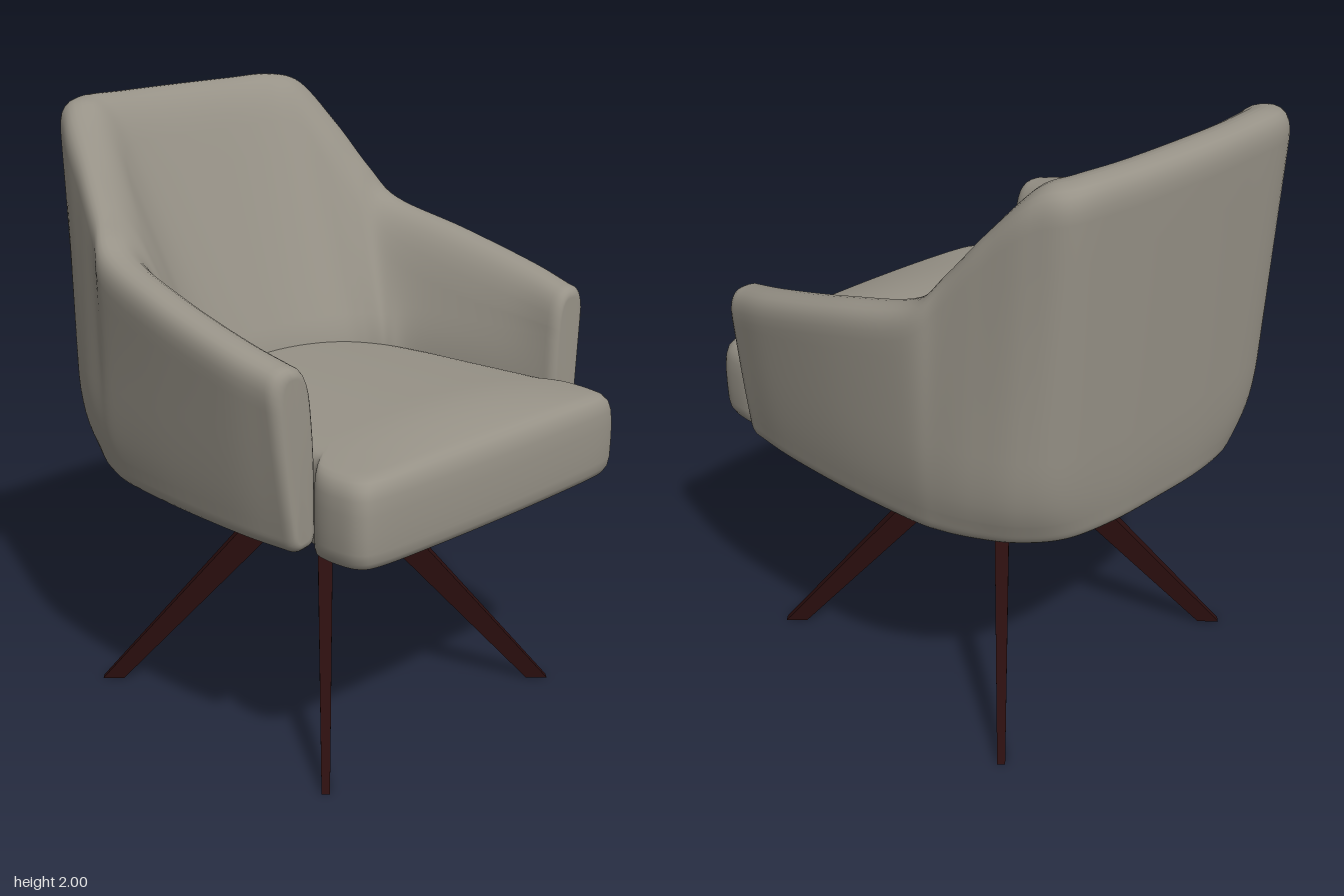
import * as THREE from 'three';
import { ConvexGeometry } from 'three/addons/geometries/ConvexGeometry.js';

const V = (x, y, z) => new THREE.Vector3(x, y, z);

// Skin a list of equally sized closed rings and cap both ends.
// Rings run counter-clockwise when seen from the starting end.
function loft(rings) {
  const n = rings[0].length, pos = [], idx = [];
  rings.forEach(r => r.forEach(p => pos.push(p.x, p.y, p.z)));
  for (let i = 0; i < rings.length - 1; i++) {
    for (let j = 0; j < n; j++) {
      const k = (j + 1) % n;
      const a = i * n + j, b = i * n + k, c = a + n, d = b + n;
      idx.push(a, c, b, b, c, d);
    }
  }
  [0, rings.length - 1].forEach((r, end) => {
    const m = centre(rings[r]), ci = pos.length / 3;
    pos.push(m.x, m.y, m.z);
    for (let j = 0; j < n; j++) {
      const a = r * n + j, b = r * n + (j + 1) % n;
      if (end) idx.push(ci, b, a); else idx.push(ci, a, b);
    }
  });
  const g = new THREE.BufferGeometry();
  g.setAttribute('position', new THREE.Float32BufferAttribute(pos, 3));
  g.setIndex(idx);
  g.computeVertexNormals();
  return g;
}

function centre(ring) {
  return ring.reduce((s, p) => s.add(p), V(0, 0, 0)).divideScalar(ring.length);
}

// Round the corners of a closed polygon, with a fixed number of points.
function roundLoop(corners, radii) {
  const n = corners.length, out = [];
  const ends = corners.map((p, i) => [corners[(i + n - 1) % n], corners[(i + 1) % n]].map(q => {
    const len = p.distanceTo(q);
    return p.clone().lerp(q, Math.min(radii[i], len * 0.45) / len);
  }));
  corners.forEach((p, i) => {
    const [a, b] = ends[i], next = ends[(i + 1) % n][0];
    out.push(...new THREE.QuadraticBezierCurve3(a, p, b).getPoints(6));
    for (let k = 1; k < 6; k++) out.push(b.clone().lerp(next, k / 6));
  });
  return out;
}

// Wraparound shell: arms and backrest in one sweep
function shellGeometry() {
  // x,z of: outer bottom | outer low | outer top | inner top | inner at seat; then top height
  const stations = [
    [0.655, 0.49, 0.685, 0.485, 0.73, 0.475, 0.575, 0.475, 0.55, 0.48, 1.385],
    [0.667, 0.30, 0.70, 0.30, 0.748, 0.30, 0.59, 0.30, 0.51, 0.30, 1.43],
    [0.66, 0.00, 0.695, 0.00, 0.737, 0.00, 0.58, 0.00, 0.45, 0.00, 1.505],
    [0.635, -0.25, 0.672, -0.26, 0.69, -0.29, 0.55, -0.26, 0.41, -0.08, 1.58],
    [0.61, -0.35, 0.652, -0.37, 0.635, -0.39, 0.51, -0.37, 0.39, -0.11, 1.69],
    [0.565, -0.45, 0.615, -0.49, 0.59, -0.51, 0.465, -0.475, 0.36, -0.15, 1.835],
    [0.49, -0.56, 0.55, -0.61, 0.54, -0.65, 0.415, -0.575, 0.31, -0.19, 1.97],
    [0.37, -0.65, 0.44, -0.69, 0.46, -0.75, 0.34, -0.615, 0.22, -0.225, 2.0],
    [0.2, -0.685, 0.23, -0.715, 0.25, -0.772, 0.2, -0.63, 0.11, -0.245, 2.0],
    [0, -0.69, 0, -0.72, 0, -0.78, 0, -0.633, 0, -0.25, 2.0],
  ];
  const rail = (col, height) => {
    const half = stations.map(s => V(s[col], height ?? s[10], s[col + 1]));
    const other = half.slice(0, -1).reverse().map(p => V(-p.x, p.y, p.z));
    return new THREE.CatmullRomCurve3([...half, ...other], false, 'catmullrom', 0.5);
  };
  const rails = [rail(0, 0.813), rail(2, 1.0), rail(4), rail(6), rail(8, 1.12), rail(8, 0.82)];
  const radii = [0.045, 0.15, 0.1, 0.16, 0.1, 0.03];
  const section = t => roundLoop(rails.map(r => r.getPoint(t)), radii);

  // Rounded arm fronts
  const R = 0.04;
  const cap = (t, angle) => {
    const ring = section(t), c = centre(ring), inset = 1 - Math.cos(angle);
    return ring.map(p => V(
      p.x + (c.x - p.x) * inset * 0.4,
      p.y + (c.y - p.y) * inset * 0.12,
      p.z + R * Math.sin(angle)));
  };
  const angles = [1.57, 1.25, 0.95, 0.63, 0.31];
  const rings = angles.map(a => cap(0, a));
  for (let i = 0; i <= 126; i++) rings.push(section(i / 126));
  [...angles].reverse().forEach(a => rings.push(cap(1, a)));
  return loft(rings);
}

// Crowned seat cushion with ears wrapping in front of the arms
function cushionGeometry() {
  const half = [
    [0, 0.772], [0.3, 0.768], [0.53, 0.757], [0.6, 0.725], [0.617, 0.64], [0.605, 0.56],
    [0.56, 0.51], [0.54, 0.4], [0.51, 0.2], [0.48, 0], [0.42, -0.16], [0.28, -0.28], [0, -0.33],
  ];
  const other = half.slice(1, -1).reverse().map(([x, z]) => [-x, z]);
  const curve = new THREE.CatmullRomCurve3(
    [...half, ...other].map(([x, z]) => V(x, 0, z)), true, 'catmullrom', 0.5);
  const outline = curve.getPoints(144).slice(0, 144);
  const cz = 0.25;
  const crown = (x, z) => {
    const depth = THREE.MathUtils.clamp((0.775 - z) / 0.32, 0, 1);
    return 0.057 * Math.max(0, 1 - (x / 0.62) ** 2) * (1 - (1 - depth) ** 2);
  };
  const ring = (scale, y, crowned) => outline.map(p => {
    const x = p.x * scale, z = cz + (p.z - cz) * scale;
    return V(x, y + crowned * crown(x, z), z);
  });
  const rings = [];
  for (let s = 0.08; s < 0.9; s += 0.08) rings.push(ring(s, 1.078, 1));
  const edge = [
    [0.925, 1.076, 1], [0.955, 1.069, 1], [0.98, 1.052, 0.9], [0.993, 1.025, 0.6], [1, 0.98, 0.2],
    [1, 0.92, 0], [0.998, 0.865, 0], [0.99, 0.835, 0], [0.972, 0.815, 0], [0.945, 0.806, 0],
    [0.88, 0.806, 0], [0.4, 0.806, 0],
  ];
  edge.forEach(e => rings.push(ring(...e)));
  return loft(rings);
}

// Tapered blade leg, lying along +x before it is turned
function legGeometry() {
  const pts = [];
  [-1, 1].forEach(s => {
    pts.push(V(0.04, 0.81, s * 0.028), V(0.08, 0.805, s * 0.028), V(0.04, 0.7, s * 0.028),
      V(0.118, 0.625, s * 0.026), V(0.778, 0, s * 0.013), V(0.705, 0, s * 0.013));
  });
  return new ConvexGeometry(pts);
}

export function createModel() {
  const fabric = new THREE.MeshStandardMaterial({ color: 0x979287 });
  fabric.name = 'warm grey upholstery';
  const wood = new THREE.MeshStandardMaterial({ color: 0x2a0e0e });
  wood.name = 'dark stained wood';

  const model = new THREE.Group();
  model.name = 'armchair';
  const add = (name, geometry, material, parent = model) => {
    const mesh = new THREE.Mesh(geometry, material);
    mesh.name = name;
    parent.add(mesh);
    return mesh;
  };

  add('shell', shellGeometry(), fabric);
  add('seatCushion', cushionGeometry(), fabric);

  // Splayed base: hub and four diagonal legs
  const base = new THREE.Group();
  base.name = 'base';
  model.add(base);
  add('hub', new THREE.CylinderGeometry(0.077, 0.068, 0.2, 24), wood, base).position.y = 0.72;
  const leg = legGeometry();
  ['frontLeftLeg', 'backLeftLeg', 'backRightLeg', 'frontRightLeg'].forEach((name, i) => {
    add(name, leg, wood, base).rotation.y = -Math.PI / 4 + i * Math.PI / 2;
  });
  return model;
}
